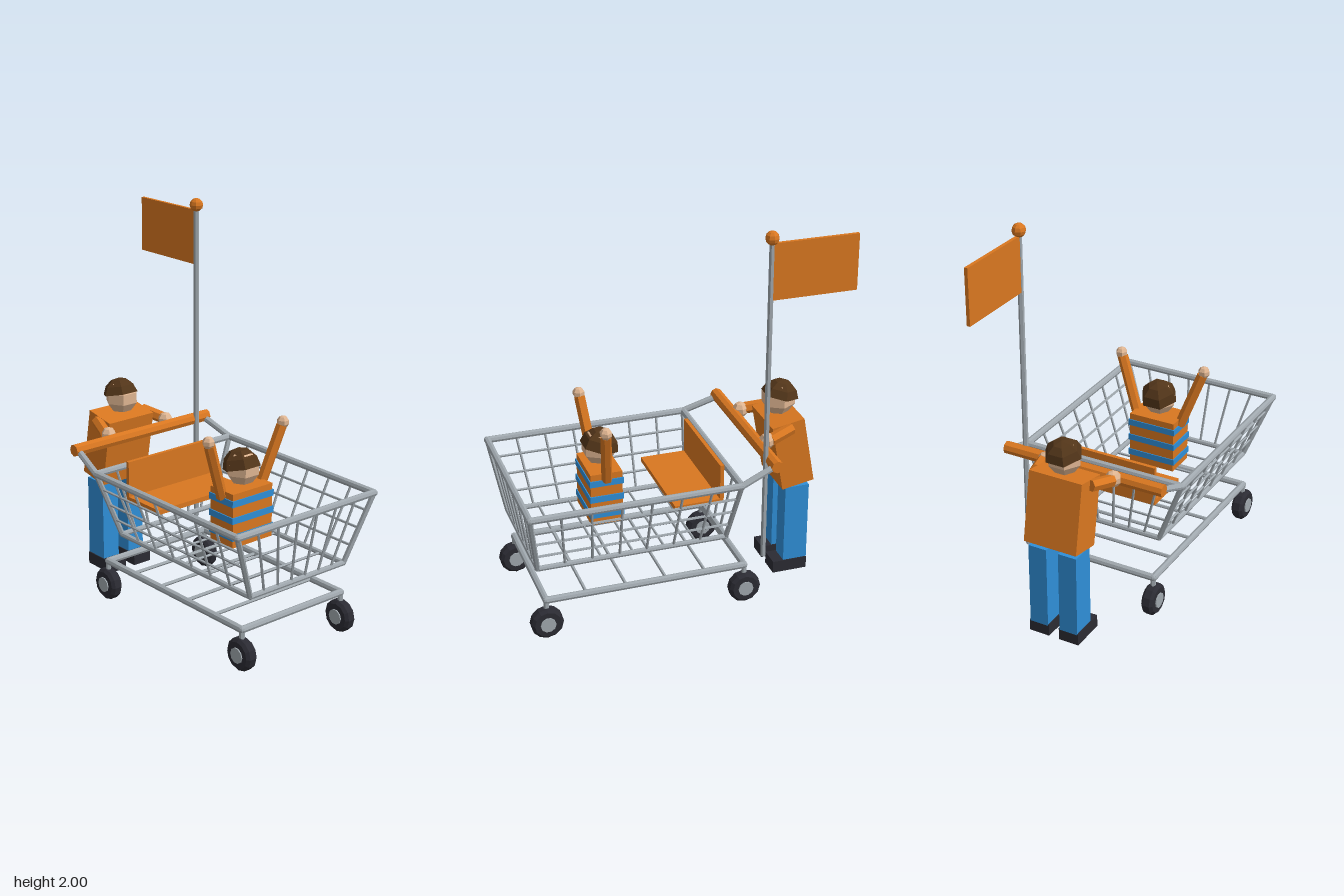
import * as THREE from 'three';

const mat = (name, color, extra = {}) => {
  const m = new THREE.MeshStandardMaterial({ color, flatShading: true, ...extra });
  m.name = name;
  return m;
};

export function createModel() {
  const orange = mat('orange', 0xd97720);
  const blue = mat('blue', 0x2f8fd8);
  const metal = mat('metal grey', 0xa0a8ae);
  const dark = mat('dark rubber', 0x2b2b33);
  const skin = mat('skin', 0xdfb591);
  const hair = mat('hair brown', 0x523519, { side: THREE.DoubleSide });

  const V = (x, y, z) => new THREE.Vector3(x, y, z);
  const group = (name, parent) => {
    const g = new THREE.Group();
    g.name = name;
    parent.add(g);
    return g;
  };
  const add = (parent, name, geo, material, x = 0, y = 0, z = 0) => {
    const m = new THREE.Mesh(geo, material);
    m.name = name;
    m.position.set(x, y, z);
    parent.add(m);
    return m;
  };
  const box = (parent, name, material, w, h, d, x, y, z) =>
    add(parent, name, new THREE.BoxGeometry(w, h, d), material, x, y, z);
  const ball = (parent, name, material, r, x, y, z, w = 6, h = 5) =>
    add(parent, name, new THREE.SphereGeometry(r, w, h), material, x, y, z);
  // Straight rod between two points
  const rod = (parent, name, material, a, b, r, sides = 6) => {
    const d = b.clone().sub(a);
    const m = add(parent, name, new THREE.CylinderGeometry(r, r, d.length(), sides), material);
    m.position.copy(a).add(b).multiplyScalar(0.5);
    m.quaternion.setFromUnitVectors(V(0, 1, 0), d.normalize());
    return m;
  };
  // Closed rectangle of rods with rounded joints
  const ring = (parent, name, corners, r) => corners.forEach((c, i) => {
    rod(parent, name, metal, c, corners[(i + 1) % 4], r, 8);
    ball(parent, name + 'Corner', metal, r, c.x, c.y, c.z, 8, 6);
  });

  const root = new THREE.Group();
  root.name = 'shoppingCartRide';

  // Basket: corners run front left, front right, back right, back left
  const basket = group('basket', root);
  const rect = (x, y, front, back) => [V(x, y, front), V(-x, y, front), V(-x, y, back), V(x, y, back)];
  const top = rect(0.44, 0.733, 0.822, -0.244);
  const low = rect(0.305, 0.382, 0.762, -0.215);
  ring(basket, 'rim', top, 0.018);
  ring(basket, 'floorFrame', low, 0.014);
  for (let i = 0; i < 4; i++) {
    const j = (i + 1) % 4;
    rod(basket, 'cornerPost', metal, low[i], top[i], 0.014);
    for (let k = 1; k < 7; k++) {
      rod(basket, 'uprightWire', metal, low[i].clone().lerp(low[j], k / 7),
        top[i].clone().lerp(top[j], k / 7), 0.007, 5);
    }
    if (i % 2 === 0) continue;
    for (const t of [0.25, 0.5, 0.75]) {
      rod(basket, 'sideWire', metal, low[i].clone().lerp(top[i], t), low[j].clone().lerp(top[j], t), 0.007, 5);
    }
  }
  for (let k = 1; k < 6; k++) {
    const z = 0.762 - k * 0.163;
    rod(basket, 'floorWire', metal, V(-0.305, 0.382, z), V(0.305, 0.382, z), 0.007, 5);
  }

  // Fold-out child seat
  box(root, 'seatPlate', orange, 0.55, 0.025, 0.25, 0, 0.571, -0.08);
  box(root, 'seatBack', orange, 0.55, 0.21, 0.02, 0, 0.665, -0.202);

  // Push handle
  rod(root, 'handleBar', orange, V(-0.44, 0.805, -0.43), V(0.44, 0.805, -0.43), 0.032, 8);
  for (const s of [1, -1]) {
    rod(root, 'handleArm', metal, V(s * 0.44, 0.733, -0.244), V(s * 0.415, 0.8, -0.425), 0.017, 8);
  }

  // Lower frame with cross bars
  const base = group('baseFrame', root);
  ring(base, 'baseRail', rect(0.325, 0.207, 0.73, -0.31), 0.018);
  for (let k = 1; k < 5; k++) {
    const z = 0.73 - k * 0.208;
    rod(base, 'baseCrossBar', metal, V(-0.325, 0.207, z), V(0.325, 0.207, z), 0.009);
  }

  // Wheels
  for (const x of [0.325, -0.325]) for (const z of [0.73, -0.31]) {
    const wheel = group('wheel', root);
    wheel.position.set(x, 0.083, z);
    rod(wheel, 'wheelStem', metal, V(0, 0.05, 0), V(0, 0.125, 0), 0.014);
    const half = 0.032;
    const profile = [[0.03, -half], [0.068, -half], [0.083, -0.018], [0.083, 0.018], [0.068, half], [0.03, half]];
    const tyre = add(wheel, 'tyre',
      new THREE.LatheGeometry(profile.map(([r, y]) => new THREE.Vector2(r, y)), 12), dark);
    tyre.rotation.z = Math.PI / 2;
    rod(wheel, 'hub', metal, V(-0.038, 0, 0), V(0.038, 0, 0), 0.04, 10);
  }

  // Flag
  const flag = group('flag', root);
  rod(flag, 'flagPole', metal, V(0.345, 0.255, -0.403), V(0.345, 1.95, -0.403), 0.014);
  ball(flag, 'poleBall', orange, 0.035, 0.345, 1.965, -0.403, 8, 6);
  box(flag, 'flagCloth', orange, 0.018, 0.285, 0.435, 0.345, 1.797, -0.626);

  // Faceted head with a cap of hair tilted to the back
  const head = (parent, y, z, tilt, reach) => {
    const g = group('head', parent);
    g.position.set(0, y, z);
    ball(g, 'face', skin, 0.091, 0, 0, 0);
    const cap = add(g, 'hair', new THREE.SphereGeometry(0.1, 6, 3, 0, Math.PI * 2, 0, Math.PI * reach), hair, 0, -0.003, -0.003);
    cap.rotation.x = tilt;
  };

  // Person pushing
  const pusher = group('pusher', root);
  for (const s of [1, -1]) {
    box(pusher, 'leg', blue, 0.1, 0.44, 0.13, s * 0.083, 0.278, -0.672);
    box(pusher, 'shoe', dark, 0.11, 0.065, 0.187, s * 0.083, 0.0325, -0.643);
    rod(pusher, 'arm', orange, V(s * 0.15, 0.85, -0.62), V(s * 0.193, 0.825, -0.49), 0.031);
    ball(pusher, 'hand', skin, 0.042, s * 0.188, 0.822, -0.472);
  }
  const torso = box(pusher, 'torso', orange, 0.29, 0.366, 0.175, 0, 0.694, -0.638);
  torso.rotation.x = 0.178;
  head(pusher, 0.961, -0.605, -0.22, 0.44);

  // Child riding with raised arms
  const rider = group('rider', root);
  box(rider, 'torso', orange, 0.255, 0.28, 0.165, 0, 0.607, 0.352);
  for (const y of [0.522, 0.61, 0.697]) box(rider, 'shirtStripe', blue, 0.267, 0.033, 0.175, 0, y, 0.352);
  for (const s of [1, -1]) {
    rod(rider, 'arm', orange, V(s * 0.125, 0.71, 0.35), V(s * 0.233, 1.01, 0.382), 0.028);
    ball(rider, 'hand', skin, 0.032, s * 0.24, 1.025, 0.384);
  }
  head(rider, 0.838, 0.355, -0.25, 0.5);

  return root;
}
